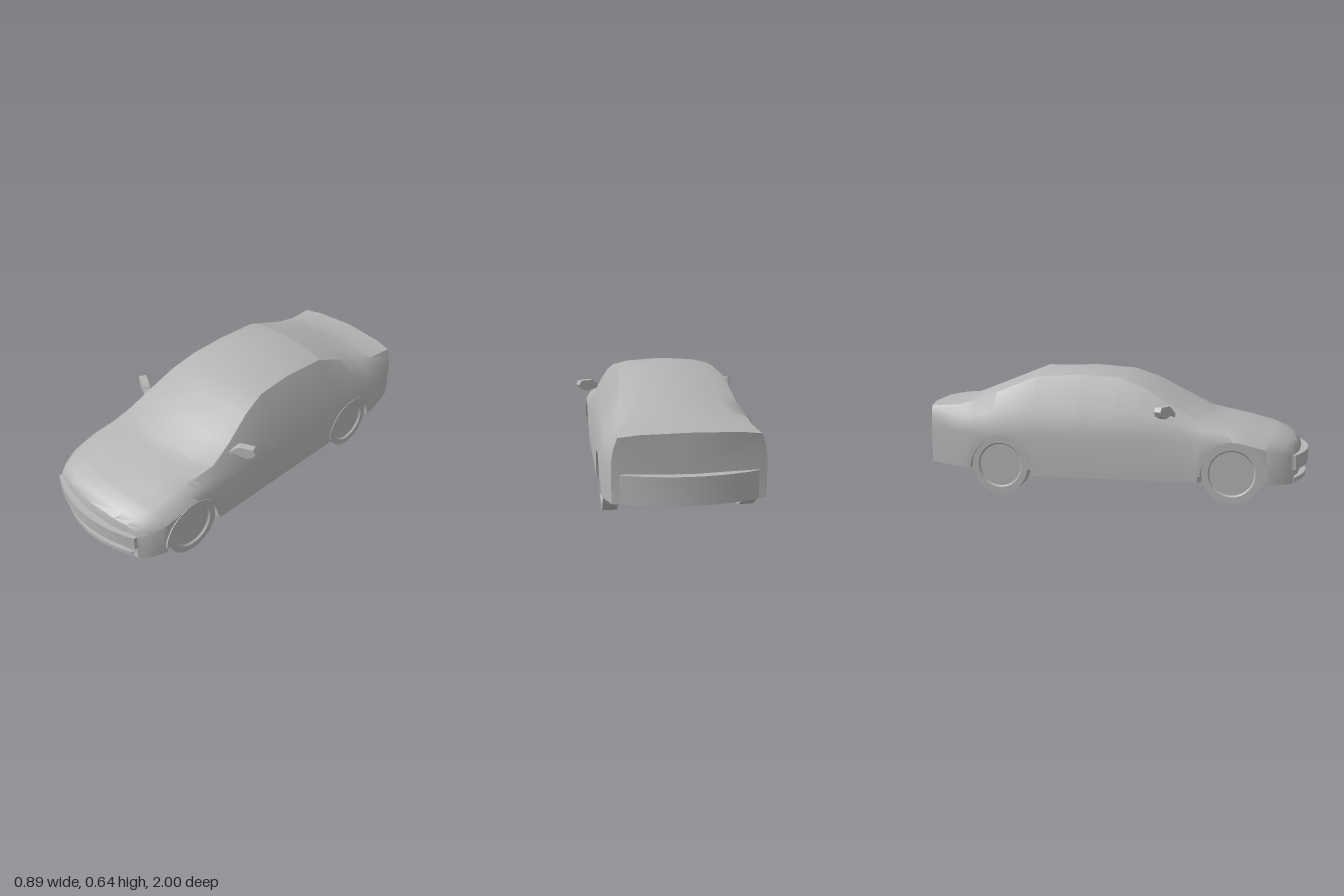
import * as THREE from 'three';
import { toCreasedNormals } from 'three/addons/utils/BufferGeometryUtils.js';

const paint = new THREE.MeshStandardMaterial({ color: 0xb4b4b4 });
paint.name = 'plain grey';

const WHEEL_Z = [0.625, -0.55];
const WHEEL_R = 0.147;
const ARCH_R = 0.165;
const ARCH_Y = 0.13;

// Upper body, nose to tail: side z, centre z, edge x, edge y, top y
const STATIONS = [
  [0.915, 0.965, 0.22, 0.24, 0.243],
  [0.90, 0.955, 0.24, 0.28, 0.285],
  [0.86, 0.92, 0.27, 0.30, 0.318],
  [0.80, 0.85, 0.29, 0.325, 0.345],
  [0.65, 0.71, 0.30, 0.365, 0.38],
  [0.50, 0.57, 0.315, 0.39, 0.408],
  [0.42, 0.52, 0.32, 0.402, 0.425],
  [0.30, 0.38, 0.305, 0.465, 0.497],
  [0.15, 0.22, 0.275, 0.55, 0.575],
  [0.03, 0.08, 0.255, 0.595, 0.622],
  [-0.15, -0.13, 0.25, 0.608, 0.64],
  [-0.38, -0.38, 0.255, 0.595, 0.638],
  [-0.65, -0.65, 0.28, 0.487, 0.533],
  [-0.78, -0.80, 0.30, 0.447, 0.475],
  [-0.925, -0.96, 0.31, 0.44, 0.46],
];

function stationAt(z) {
  let i = 0;
  while (i < STATIONS.length - 2 && z < STATIONS[i + 1][0]) i++;
  const a = STATIONS[i], b = STATIONS[i + 1];
  const t = (a[0] - z) / (a[0] - b[0]);
  return a.map((v, k) => v + (b[k] - v) * t);
}

// How far z lies past the start of the nose or tail taper, 0 to 1
const noseTaper = (z) => Math.max(0, (z - 0.65) / 0.265);
const tailTaper = (z) => Math.max(0, (-0.65 - z) / 0.275);

// Full ring of a cross-section; the sill rises to archSill over a wheel
function ring(z, archSill) {
  const [zs, zc, ex, ey, top] = stationAt(z);
  const w = 0.373 - 0.073 * noseTaper(z) ** 4 - 0.035 * tailTaper(z) ** 3;
  const floor = 0.12 - 0.02 * Math.min(1, Math.max(0, (z + 0.65) / 0.15)) + 0.03 * tailTaper(z);
  const sill = archSill ?? floor;
  const fender = Math.max(sill, 0.305 - 0.07 * noseTaper(z) + 0.025 * tailTaper(z));
  const beltX = w - 0.025 + 0.015 * tailTaper(z);
  const beltY = Math.min(0.42, fender + (ey - fender) * 0.55);
  const inner = Math.min(0.27, w * 0.8);
  const half = [
    [0, floor], [inner, floor], [inner, sill], [w, sill], [w, fender],
    [beltX, beltY], [ex, ey], [ex * 0.7, ey + (top - ey) * 0.65], [0, top],
  ];
  const mirrored = half.slice(1, -1).reverse().map(([x, y]) => [-x, y]);
  return [...half, ...mirrored].map(([x, y]) =>
    new THREE.Vector3(x, y, zs + (zc - zs) * (1 - (x / w) ** 2)));
}

function bodyGeometry() {
  // Stations in order, with extra ones tracing each wheel arch
  const cuts = STATIONS.map((s) => ({ z: s[0] }))
    .filter(({ z }) => WHEEL_Z.every((c) => Math.abs(z - c) > ARCH_R));
  for (const c of WHEEL_Z) {
    cuts.push({ z: c + ARCH_R + 1e-4 }, { z: c - ARCH_R - 1e-4 });
    for (let i = 0; i <= 14; i++) {
      const t = (i / 14) * Math.PI;
      cuts.push({ z: c + ARCH_R * Math.cos(t), sill: ARCH_Y + 0.001 + ARCH_R * Math.sin(t) });
    }
  }
  cuts.sort((a, b) => b.z - a.z);
  const rings = cuts.map((c) => ring(c.z, c.sill));
  const n = rings[0].length;
  const pos = [];
  const tri = (...pts) => pts.forEach((p) => pos.push(p.x, p.y, p.z));
  for (let i = 0; i < rings.length - 1; i++) {
    for (let j = 0; j < n; j++) {
      const k = (j + 1) % n;
      const a = rings[i][j], b = rings[i][k], c = rings[i + 1][j], d = rings[i + 1][k];
      tri(a, c, b);
      tri(b, c, d);
    }
  }
  // Nose and tail caps
  [rings[0], rings[rings.length - 1]].forEach((r, end) => {
    const mid = new THREE.Vector3(0, (r[0].y + r[8].y) / 2, r[0].z);
    for (let j = 0; j < n; j++) {
      const k = (j + 1) % n;
      if (end === 0) tri(mid, r[j], r[k]);
      else tri(mid, r[k], r[j]);
    }
  });
  const g = new THREE.BufferGeometry();
  g.setAttribute('position', new THREE.Float32BufferAttribute(pos, 3));
  return toCreasedNormals(g, 0.6);
}

// Slab with a bowed outer edge, used for the bumpers
function bowedSlab(w, zBack, zSide, zMid, y0, y1) {
  const s = new THREE.Shape();
  s.moveTo(-w, -zBack);
  for (let i = 0; i <= 10; i++) {
    const u = i / 5 - 1;
    s.lineTo(u * w, -(zSide + (zMid - zSide) * (1 - u * u)));
  }
  s.lineTo(w, -zBack);
  const g = new THREE.ExtrudeGeometry(s, { depth: y1 - y0, bevelEnabled: false });
  return toCreasedNormals(g.rotateX(-Math.PI / 2).translate(0, y0, 0), 0.5);
}

// Tyre with a slightly recessed hub
function wheelGeometry() {
  const profile = [[0, -0.035], [WHEEL_R, -0.035], [WHEEL_R, 0.035], [0.115, 0.035],
    [0.108, 0.025], [0, 0.025]].map(([r, y]) => new THREE.Vector2(r, y));
  const g = new THREE.LatheGeometry(profile, 36).rotateZ(-Math.PI / 2);
  return toCreasedNormals(g, 0.5);
}

// Thin lip around the wheel opening
function archLipGeometry() {
  const s = new THREE.Shape();
  s.absarc(0, 0, ARCH_R + 0.008, 0, Math.PI, false);
  s.absarc(0, 0, ARCH_R - 0.012, Math.PI, 0, true);
  const g = new THREE.ExtrudeGeometry(s, { depth: 0.02, bevelEnabled: false, curveSegments: 20 });
  return toCreasedNormals(g.rotateY(Math.PI / 2).translate(-0.01, 0, 0), 0.5);
}

// Door mirror: head and short stalk in one outline
function mirrorGeometry(side) {
  const outline = [[-0.075, -0.04], [-0.055, -0.015], [0.01, -0.032], [0.045, -0.018],
    [0.058, 0.005], [0.045, 0.027], [-0.025, 0.027], [-0.045, 0.015], [-0.055, 0.003], [-0.085, -0.02]];
  const s = new THREE.Shape(outline.map(([x, y]) => new THREE.Vector2(x * side, y)));
  return new THREE.ExtrudeGeometry(s, { depth: 0.038, bevelEnabled: false }).translate(0, 0, -0.019);
}

export function createModel() {
  const car = new THREE.Group();
  car.name = 'car';
  const add = (name, geometry, x = 0, y = 0, z = 0) => {
    const m = new THREE.Mesh(geometry, paint);
    m.name = name;
    m.position.set(x, y, z);
    car.add(m);
    return m;
  };

  add('body', bodyGeometry());
  add('frontBumper', bowedSlab(0.302, 0.85, 0.93, 1.0, 0.168, 0.24));
  add('frontLip', bowedSlab(0.27, 0.85, 0.925, 0.99, 0.10, 0.122));
  add('rearBumper', bowedSlab(0.30, -0.88, -0.94, -1.0, 0.152, 0.28));

  for (const side of [1, -1]) {
    const label = side > 0 ? 'left' : 'right';
    WHEEL_Z.forEach((z, i) => {
      const end = i === 0 ? 'Front' : 'Rear';
      const wheel = add(`${label}${end}Wheel`, wheelGeometry(), side * 0.326, WHEEL_R, z);
      if (side < 0) wheel.rotation.y = Math.PI;
      add(`${label}${end}ArchLip`, archLipGeometry(), side * 0.366, ARCH_Y, z);
    });
    const mirror = add(`${label}Mirror`, mirrorGeometry(side), side * 0.385, 0.445, 0.295);
    mirror.rotation.y = side * 0.45;
  }
  return car;
}
